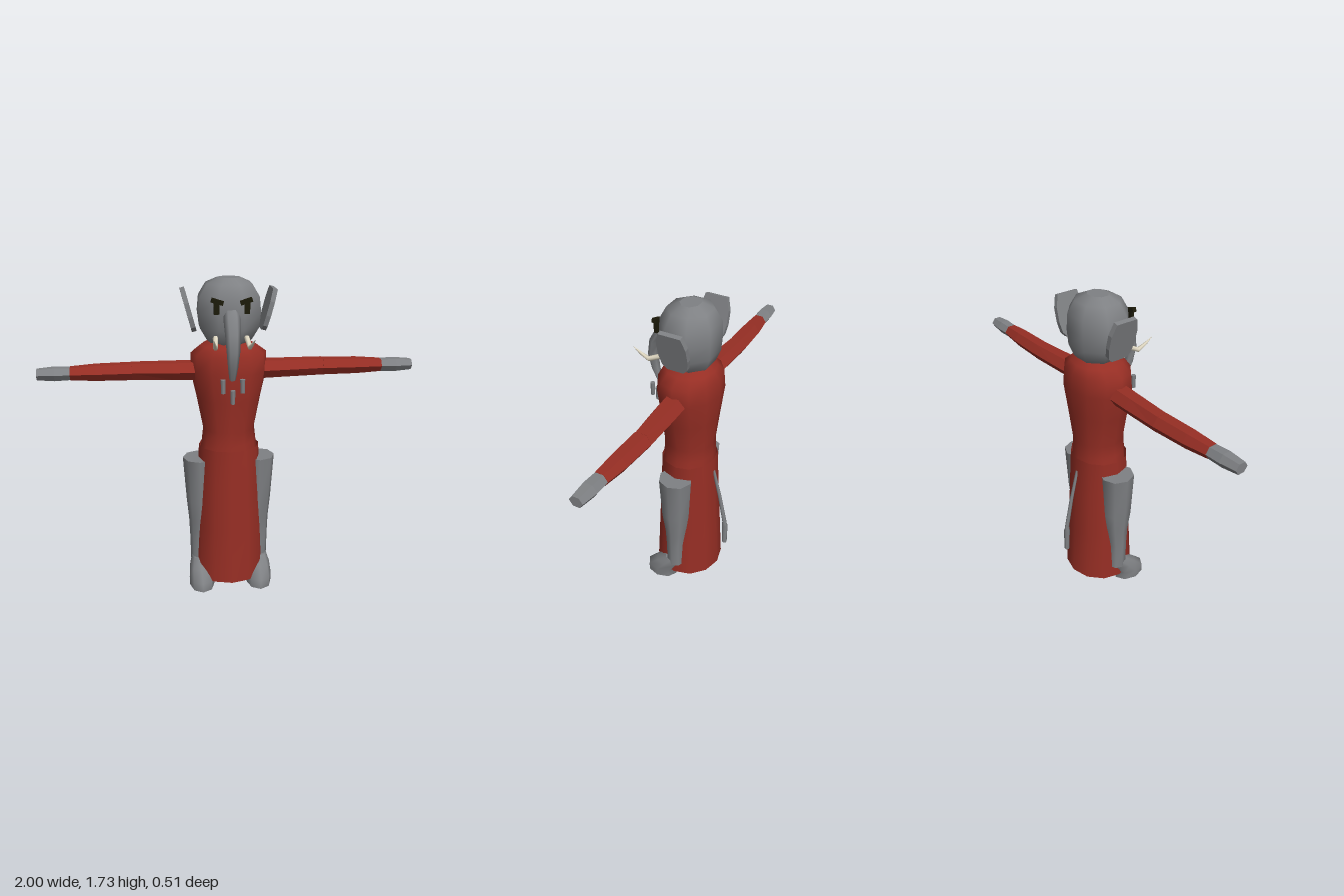
import * as THREE from 'three';

const mat = (name, color) => {
  const m = new THREE.MeshStandardMaterial({ color, side: THREE.DoubleSide });
  m.name = name;
  return m;
};

// Skin over elliptical rings [x, y, z, ru, rv]; ru runs along "side".
// With a fixed axis the rings stay parallel, otherwise they follow the path.
function loft(rings, n, { side = [1, 0, 0], axis = null, offset = 0, flat = false, caps = true } = {}) {
  const centres = rings.map(r => new THREE.Vector3(r[0], r[1], r[2]));
  const pos = [], idx = [];
  const loops = rings.map((r, i) => {
    const t = axis ? new THREE.Vector3(...axis)
      : centres[Math.min(i + 1, rings.length - 1)].clone().sub(centres[Math.max(i - 1, 0)]).normalize();
    const v = t.clone().cross(new THREE.Vector3(...side)).normalize();
    const u = v.clone().cross(t);
    return Array.from({ length: n }, (_, j) => {
      const a = (j / n) * Math.PI * 2 + offset;
      return centres[i].clone().addScaledVector(u, Math.cos(a) * r[3]).addScaledVector(v, Math.sin(a) * (r[4] ?? r[3]));
    });
  });
  loops.forEach(l => l.forEach(p => pos.push(p.x, p.y, p.z)));
  for (let i = 0; i < rings.length - 1; i++) {
    for (let j = 0; j < n; j++) {
      const k = (j + 1) % n, a = i * n + j, b = i * n + k;
      idx.push(a, b, b + n, a, b + n, a + n);
    }
  }
  if (caps) {
    [0, rings.length - 1].forEach(e => {
      const base = pos.length / 3;
      [centres[e], ...loops[e]].forEach(p => pos.push(p.x, p.y, p.z));
      for (let j = 0; j < n; j++) {
        const a = base + 1 + j, b = base + 1 + (j + 1) % n;
        if (e) idx.push(base, a, b); else idx.push(base, b, a);
      }
    });
  }
  let g = new THREE.BufferGeometry();
  g.setAttribute('position', new THREE.Float32BufferAttribute(pos, 3));
  g.setIndex(idx);
  if (flat) g = g.toNonIndexed();
  g.computeVertexNormals();
  return g;
}

export function createModel() {
  const red = mat('robeRed', 0x962e24), grey = mat('skinGrey', 0x7f8184);
  const ivory = mat('tuskIvory', 0xe2dac4), dark = mat('eyeDark', 0x1c1a0a);
  const root = new THREE.Group();
  root.name = 'elephantFigure';
  const add = (name, geometry, material) => {
    const m = new THREE.Mesh(geometry, material);
    m.name = name;
    root.add(m);
    return m;
  };
  const up = { axis: [0, 1, 0] };

  // Robe: waisted top and open skirt
  add('robeTop', loft([
    [0, 0.8, -0.013, 0.157, 0.143], [0, 0.86, -0.013, 0.148, 0.139], [0, 0.93, -0.013, 0.14, 0.137],
    [0, 1.1, -0.015, 0.172, 0.153], [0, 1.25, -0.017, 0.204, 0.168], [0, 1.345, -0.018, 0.2, 0.158],
    [0, 1.385, -0.018, 0.145, 0.133], [0, 1.41, -0.018, 0.09, 0.1]], 12, up), red);
  add('robeSkirt', loft([
    [0, 0.05, -0.012, 0.2, 0.188], [0, 0.35, -0.012, 0.187, 0.172],
    [0, 0.6, -0.012, 0.174, 0.159], [0, 0.83, -0.012, 0.165, 0.148]], 12, { ...up, caps: false }), red);

  // Head
  add('head', loft([
    [1.395, 0.09, 0.095], [1.42, 0.12, 0.118], [1.48, 0.155, 0.14], [1.56, 0.165, 0.146],
    [1.64, 0.157, 0.143], [1.705, 0.118, 0.11], [1.733, 0.058, 0.05]
  ].map(([y, rx, rz]) => [0, y, -0.014, rx * 1.06, rz * 1.06]), 8, { ...up, offset: Math.PI / 8 }), grey);

  // Trunk
  add('trunk', loft([
    [0, 1.57, 0.115, 0.04, 0.026], [0, 1.545, 0.15, 0.044, 0.028], [0, 1.47, 0.192, 0.04, 0.028],
    [0, 1.39, 0.207, 0.034, 0.025], [0, 1.31, 0.192, 0.026, 0.021], [0, 1.24, 0.168, 0.016, 0.013]], 6), grey);

  // Chin tassels
  [[-0.05, 1.21], [0, 1.152], [0.05, 1.21]].forEach(([x, y]) => {
    add('chinTassel', new THREE.CylinderGeometry(0.014, 0.012, 0.072, 6), grey).position.set(x, y, 0.185);
  });

  // Tail with a thicker tuft
  add('tail', loft([[0, 0.75, -0.16, 0.008], [0, 0.58, -0.202, 0.01], [0, 0.39, -0.24, 0.012]], 6), grey);
  add('tailTuft', loft([
    [0, 0.405, -0.236, 0.009], [0, 0.37, -0.241, 0.017], [0, 0.24, -0.243, 0.014]], 6, { axis: [0, -1, 0] }), grey);

  // Ear outline, a tall plate with cut corners
  const earShape = new THREE.Shape([
    [-0.045, -0.11], [0.045, -0.11], [0.068, -0.085], [0.079, -0.03], [0.079, 0.045],
    [0.06, 0.11], [-0.06, 0.11], [-0.079, 0.045], [-0.079, -0.03], [-0.068, -0.085]
  ].map(p => new THREE.Vector2(...p)));
  const earGeometry = new THREE.ExtrudeGeometry(earShape, { depth: 0.025, bevelEnabled: false });
  earGeometry.translate(0, 0, -0.0125).rotateY(Math.PI / 2);

  for (const s of [1, -1]) {
    const name = part => (s > 0 ? 'left' : 'right') + part;
    const arm = { axis: [s, 0, 0], side: [0, 0, 1], flat: true };

    // Sleeves and hand, hexagonal
    add(name('UpperSleeve'), loft([
      [s * 0.17, 1.25, -0.015, 0.066, 0.054], [s * 0.3, 1.25, -0.022, 0.064, 0.052],
      [s * 0.51, 1.25, -0.033, 0.056, 0.05]], 6, arm), red);
    add(name('LowerSleeve'), loft([
      [s * 0.51, 1.25, -0.031, 0.058, 0.049], [s * 0.7, 1.25, -0.026, 0.055, 0.046],
      [s * 0.83, 1.25, -0.02, 0.044, 0.037]], 6, arm), red);
    add(name('Hand'), loft([
      [s * 0.83, 1.25, -0.02, 0.043, 0.036], [s * 0.91, 1.25, -0.018, 0.046, 0.039],
      [s, 1.25, -0.016, 0.036, 0.031]], 6, arm), grey);

    // Leg and forward-leaning foot
    add(name('Leg'), loft([
      [s * 0.17, 0.12, -0.01, 0.05, 0.051], [s * 0.17, 0.28, -0.01, 0.053, 0.053],
      [s * 0.165, 0.38, -0.012, 0.062, 0.063], [s * 0.162, 0.5, -0.01, 0.076, 0.081],
      [s * 0.165, 0.755, -0.012, 0.09, 0.094]], 8, up), grey);
    add(name('Foot'), loft([
      [s * 0.164, 0, 0.085, 0.07, 0.094], [s * 0.165, 0.05, 0.083, 0.071, 0.093],
      [s * 0.168, 0.105, 0.04, 0.063, 0.077], [s * 0.17, 0.148, 0, 0.047, 0.057]], 8, up), grey);

    // Ear
    const ear = add(name('Ear'), earGeometry, grey);
    ear.position.set(s * 0.209, 1.567, -0.035);
    ear.rotation.z = -s * 0.26;

    // Tusk, dipping and then turning up
    add(name('Tusk'), loft([
      [s * 0.08, 1.445, 0.105, 0.014], [s * 0.087, 1.41, 0.18, 0.013],
      [s * 0.095, 1.435, 0.22, 0.008], [s * 0.102, 1.465, 0.257, 0.001]], 6), ivory);

    // Eye and slanted brow
    add(name('Eye'), new THREE.BoxGeometry(0.028, 0.06, 0.018), dark).position.set(s * 0.077, 1.6, 0.133);
    const brow = add(name('Brow'), new THREE.BoxGeometry(0.062, 0.022, 0.022), dark);
    brow.position.set(s * 0.073, 1.633, 0.134);
    brow.rotation.z = s * 0.3;
  }
  return root;
}
